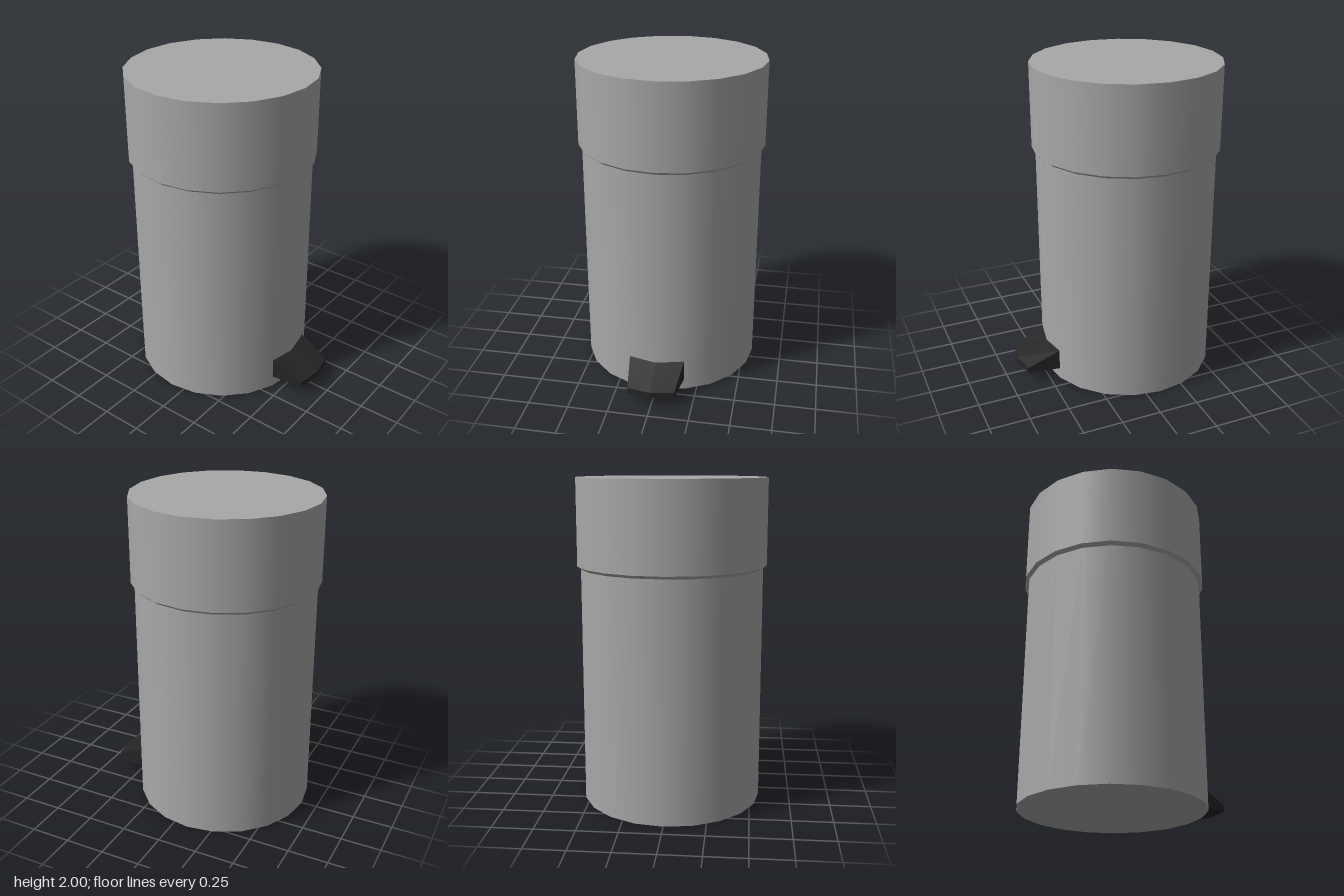
import * as THREE from 'three';

const SIDES = 20;
const AXIS_Z = -0.092;

export function createModel() {
  const group = new THREE.Group();
  group.name = 'pedalBin';
  const steel = new THREE.MeshStandardMaterial({ name: 'steel grey', color: 0xa8a8a8 });
  const rubber = new THREE.MeshStandardMaterial({ name: 'pedal black', color: 0x252525 });

  const add = (name, geometry, material, y, z) => {
    const mesh = new THREE.Mesh(geometry, material);
    mesh.name = name;
    mesh.position.set(0, y, z);
    group.add(mesh);
  };

  // Round walls, open at both ends, smooth around the axis
  const wall = (name, rTop, rBottom, y0, y1) =>
    add(name, new THREE.CylinderGeometry(rTop, rBottom, y1 - y0, SIDES, 1, true), steel, (y0 + y1) / 2, AXIS_Z);
  wall('body', 0.558, 0.558, 0, 1.457);
  wall('lidLip', 0.58, 0.558, 1.457, 1.475);
  wall('lid', 0.58, 0.58, 1.475, 2);

  // Flat ends
  add('lidTop', new THREE.CircleGeometry(0.58, SIDES).rotateX(-Math.PI / 2), steel, 2, AXIS_Z);
  add('base', new THREE.CircleGeometry(0.558, SIDES).rotateX(Math.PI / 2), steel, 0, AXIS_Z);

  // Foot pedal: a wedge that narrows to a shallow point at the front
  const box = new THREE.BoxGeometry(2, 1, 1, 2, 1, 1);
  const p = box.attributes.position;
  for (let i = 0; i < p.count; i++) {
    const side = Math.round(p.getX(i));
    const top = p.getY(i) > 0;
    const front = p.getZ(i) > 0;
    p.setXYZ(
      i,
      side * (front ? 0.146 : 0.173),
      top ? (front ? 0.112 : 0.205) : 0.074,
      front ? (side === 0 ? 0.67 : 0.642) : 0.44
    );
  }
  const pedal = box.toNonIndexed();
  pedal.computeVertexNormals();
  add('pedal', pedal, rubber, 0, 0);

  return group;
}
